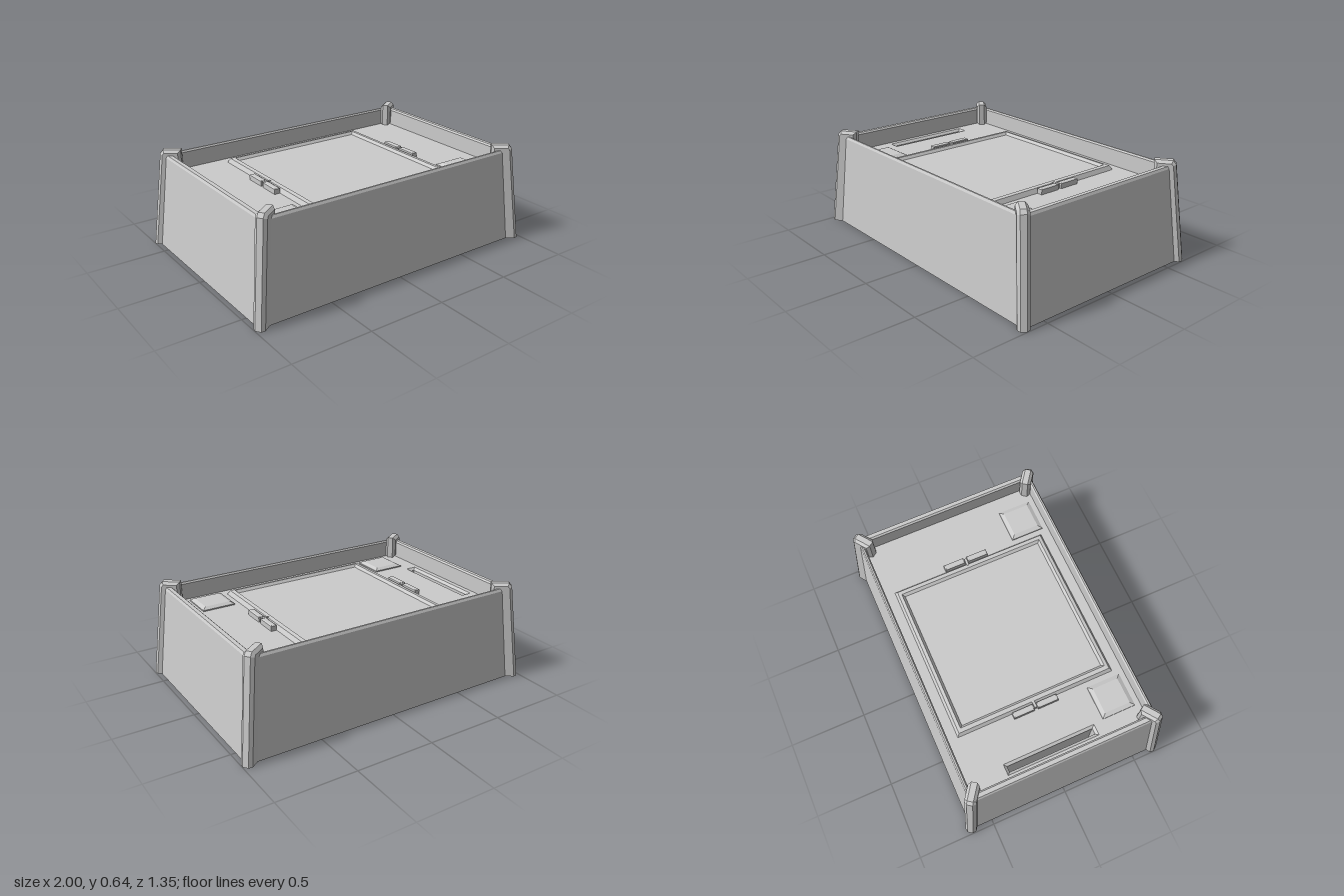
import * as THREE from 'three';

const DECK = 0.495;
const material = new THREE.MeshStandardMaterial({ color: 0xcccccc, flatShading: true, side: THREE.DoubleSide });

// Skin joining rectangular rings, each [halfX, halfZ, y]; a zero-size ring closes an end
function tiers(rings) {
  const corners = [[-1, 1], [1, 1], [1, -1], [-1, -1]];
  const positions = [];
  for (let r = 0; r < rings.length - 1; r++) {
    for (let i = 0; i < 4; i++) {
      const at = (ring, c) => [corners[c % 4][0] * ring[0], ring[2], corners[c % 4][1] * ring[1]];
      const a = at(rings[r], i), b = at(rings[r], i + 1);
      const c = at(rings[r + 1], i + 1), d = at(rings[r + 1], i);
      if (rings[r][0] > 0) positions.push(...a, ...b, ...c);
      if (rings[r + 1][0] > 0) positions.push(...(rings[r][0] > 0 ? a : b), ...c, ...d);
      else if (rings[r][0] === 0) continue;
    }
  }
  const geometry = new THREE.BufferGeometry();
  geometry.setAttribute('position', new THREE.Float32BufferAttribute(positions, 3));
  geometry.computeVertexNormals();
  return geometry;
}

// Low block with a chamfered top, standing on the deck
function raisedBlock(hx, hz, height, chamfer) {
  const top = DECK + height;
  return tiers([
    [hx, hz, DECK], [hx, hz, top - chamfer * 0.5],
    [hx - chamfer, hz - chamfer, top], [0, 0, top],
  ]);
}

// Diagonal corner post that hooks over the rim
function postGeometry() {
  const profile = new THREE.Shape([
    [0.214, 0], [0.129, 0.62], [0.11, 0.643], [0, 0.643], [0, 0.49], [0.04, 0.49], [0.12, 0],
  ].map(([x, y]) => new THREE.Vector2(x, y)));
  const bevel = 0.017;
  const geometry = new THREE.ExtrudeGeometry(profile, {
    depth: 0.036, bevelEnabled: true, bevelThickness: bevel, bevelSize: bevel, bevelOffset: -bevel, bevelSegments: 1,
  });
  geometry.translate(0, 0, -0.018);
  // Keep the foot flat on the ground
  const p = geometry.attributes.position;
  for (let i = 0; i < p.count; i++) if (p.getY(i) < 0.03) p.setY(i, 0);
  geometry.computeVertexNormals();
  return geometry;
}

export function createModel() {
  const model = new THREE.Group();
  const add = (name, geometry, x = 0, z = 0) => {
    const mesh = new THREE.Mesh(geometry, material);
    mesh.name = name;
    mesh.position.set(x, 0, z);
    model.add(mesh);
    return mesh;
  };

  // Tapered walls, chamfered rim and inner walls down to the deck
  add('hull', tiers([
    [0.97, 0.64, 0], [0.908, 0.598, 0.595], [0.9, 0.59, 0.61],
    [0.875, 0.58, 0.61], [0.865, 0.572, 0.6], [0.865, 0.572, DECK],
  ]));

  // Deck with an opening for the slot
  const slot = { x: -0.8, z: -0.035, hx: 0.035, hz: 0.295 };
  const rect = (Type, x, y, hx, hy) => new Type([[-1, -1], [1, -1], [1, 1], [-1, 1]]
    .map(([sx, sy]) => new THREE.Vector2(x + sx * hx, y + sy * hy)));
  const deckShape = rect(THREE.Shape, 0, 0, 0.865, 0.572);
  deckShape.holes.push(rect(THREE.Path, slot.x, -slot.z, slot.hx, slot.hz));
  add('deck', new THREE.ShapeGeometry(deckShape).rotateX(-Math.PI / 2).translate(0, DECK, 0));

  // Narrow slot with its well hanging below the deck
  add('slotWell', tiers([
    [0, 0, 0.13], [slot.hx, slot.hz, 0.13], [slot.hx, slot.hz, DECK],
    [0.018, 0.278, 0.48], [0.018, 0.278, 0.14], [0, 0, 0.14],
  ]), slot.x, slot.z);

  // Central compartment below the deck, with a raised frame and sunk panel on top
  add('centralCompartment', tiers([
    [0, 0, 0.13], [0.5, 0.49, 0.13], [0.5, 0.49, DECK], [0.51, 0.51, DECK],
    [0.495, 0.495, 0.522], [0.47, 0.475, 0.525], [0.455, 0.46, 0.508], [0, 0, 0.508],
  ]));

  for (const sx of [-1, 1]) {
    // Square pads near the front
    add('pad', raisedBlock(0.107, 0.107, 0.02, 0.025), sx * 0.653, 0.43);
    // Latches beside the panel, joined by a small pin
    add('latchBack', raisedBlock(0.018, 0.067, 0.035, 0.008), sx * 0.528, -0.092);
    add('latchFront', raisedBlock(0.018, 0.067, 0.035, 0.008), sx * 0.528, 0.064);
    add('latchPin', raisedBlock(0.024, 0.008, 0.032, 0.003), sx * 0.512, -0.014);
  }

  // Corner posts, turned to face outwards along the diagonals
  const post = postGeometry();
  for (const sx of [-1, 1]) for (const sz of [-1, 1]) {
    add('cornerPost', post, sx * 0.815, sz * 0.53).rotation.y = -Math.atan2(sz * 0.59, sx * 0.81);
  }
  return model;
}
